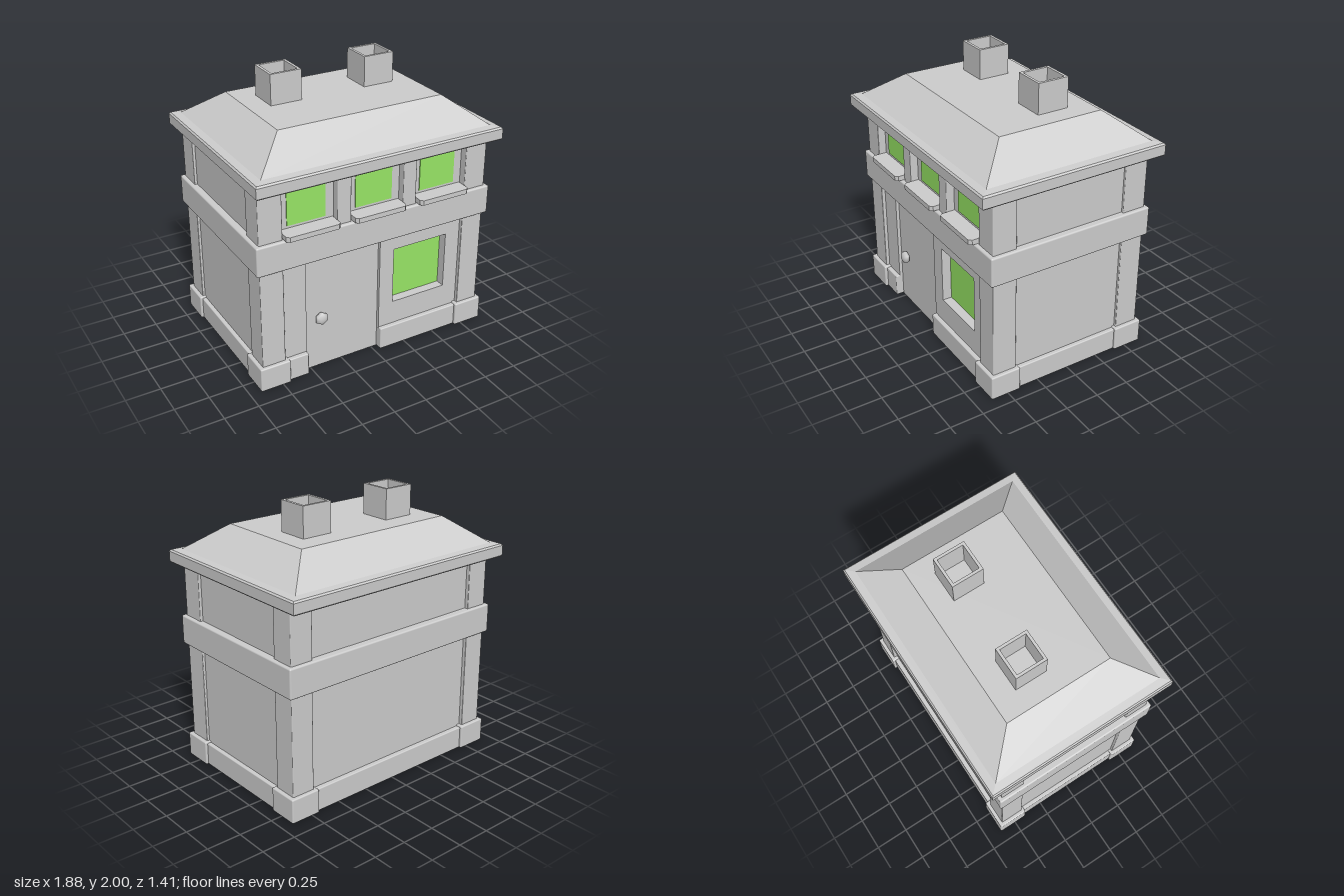
import * as THREE from 'three';
import { RoundedBoxGeometry } from 'three/addons/geometries/RoundedBoxGeometry.js';

const stone = new THREE.MeshStandardMaterial({ color: 0xcccccc });
stone.name = 'stone';
const glass = new THREE.MeshStandardMaterial({ color: 0x97e565 });
glass.name = 'greenGlass';

// Box given by its limits on each axis; a radius softens the edges
function block(name, [x0, x1], [y0, y1], [z0, z1], radius = 0, material = stone) {
  const size = [x1 - x0, y1 - y0, z1 - z0];
  const geometry = radius
    ? new RoundedBoxGeometry(...size, 2, radius)
    : new THREE.BoxGeometry(...size);
  const mesh = new THREE.Mesh(geometry, material);
  mesh.position.set((x0 + x1) / 2, (y0 + y1) / 2, (z0 + z1) / 2);
  mesh.name = name;
  return mesh;
}

function polygon(points, Type = THREE.Shape) {
  return new Type(points.map(([x, y]) => new THREE.Vector2(x, y)));
}

function rectangle(x0, x1, y0, y1, Type) {
  return polygon([[x0, y0], [x1, y0], [x1, y1], [x0, y1]], Type);
}

function extrude(name, shape, depth) {
  const mesh = new THREE.Mesh(
    new THREE.ExtrudeGeometry(shape, { depth, bevelEnabled: false }), stone);
  mesh.name = name;
  return mesh;
}

// Eave and hipped roof as stacked rectangular rings of [half width, height]
function hippedRoof() {
  const rings = [[0.93, 1.49], [0.94, 1.5], [0.94, 1.573], [0.93, 1.585], [0.875, 1.592], [0.63, 1.78]];
  const corners = ([w, y]) => {
    const d = w - 0.235;
    return [[-w, y, d], [w, y, d], [w, y, -d], [-w, y, -d]];
  };
  const positions = [];
  const quad = (a, b, c, d) => positions.push(...a, ...b, ...c, ...a, ...c, ...d);
  for (let i = 0; i < rings.length - 1; i++) {
    const low = corners(rings[i]), high = corners(rings[i + 1]);
    for (let k = 0; k < 4; k++) {
      const n = (k + 1) % 4;
      quad(low[k], low[n], high[n], high[k]);
    }
  }
  quad(...corners(rings[rings.length - 1]));
  quad(...corners(rings[0]).reverse());
  const geometry = new THREE.BufferGeometry();
  geometry.setAttribute('position', new THREE.Float32BufferAttribute(positions, 3));
  geometry.computeVertexNormals();
  const mesh = new THREE.Mesh(geometry, stone);
  mesh.name = 'roof';
  return mesh;
}

export function createModel() {
  const house = new THREE.Group();
  house.name = 'house';

  // Wall cores
  house.add(
    block('lowerWalls', [-0.87, 0.87], [0.015, 1], [-0.575, 0.5]),
    block('upperWalls', [-0.87, 0.87], [1, 1.5], [-0.575, 0.545]));

  // Ground floor front with a doorway and a deep window opening
  const front = polygon([[-0.87, 0.015], [-0.54, 0.015], [-0.54, 0.88], [0.045, 0.88],
    [0.045, 0.015], [0.87, 0.015], [0.87, 1], [-0.87, 1]]);
  front.holes.push(rectangle(0.16, 0.6, 0.35, 0.78, THREE.Path));
  const frontWall = extrude('frontWall', front, 0.076);
  frontWall.position.z = 0.499;
  house.add(frontWall);
  house.add(block('largeWindow', [0.16, 0.6], [0.35, 0.78], [0.499, 0.506], 0, glass));

  // Door and knob
  house.add(block('door', [-0.54, 0.045], [0, 0.878], [0.49, 0.55]));
  const knob = new THREE.Group();
  knob.name = 'doorKnob';
  const ball = new THREE.Mesh(new THREE.SphereGeometry(0.05, 6, 6), stone);
  ball.name = 'knobBall';
  ball.rotation.set(Math.PI / 2, Math.PI / 6, 0);
  ball.scale.y = 0.6;
  const stem = new THREE.Mesh(new THREE.CylinderGeometry(0.02, 0.02, 0.04, 6), stone);
  stem.name = 'knobStem';
  stem.rotation.x = Math.PI / 2;
  stem.position.z = -0.02;
  knob.add(ball, stem);
  knob.position.set(-0.422, 0.403, 0.577);
  house.add(knob);

  // Corner pillars with foot blocks
  for (const sx of [-1, 1]) {
    for (const sz of [-1, 1]) {
      const span = (s, a, b) => (s > 0 ? [a, b] : [-b, -a]);
      house.add(
        block('cornerPillar', span(sx, 0.718, 0.89), [0.1, 1.5], span(sz, 0.425, 0.603), 0.006),
        block('cornerFoot', span(sx, 0.692, 0.918), [0, 0.18], span(sz, 0.405, 0.63), 0.01));
    }
    house.add(block('sidePlinth', sx > 0 ? [0.8, 0.9] : [-0.9, -0.8], [0, 0.17], [-0.5, 0.5], 0.008));
  }

  // Plinth strips along the back and either side of the door
  house.add(
    block('backPlinth', [-0.8, 0.8], [0, 0.17], [-0.61, -0.5], 0.008),
    block('frontPlinth', [-0.8, -0.54], [0, 0.17], [0.5, 0.608], 0.008),
    block('frontPlinth', [0.045, 0.8], [0, 0.17], [0.5, 0.608], 0.008));

  // Band between the floors
  house.add(block('floorBand', [-0.918, 0.918], [0.9, 1.115], [-0.63, 0.63], 0.012));

  // Upper windows with projecting sills
  const sillShape = polygon([[-0.2, 0], [0.2, 0], [0.2, 0.11], [0.18, 0.13], [-0.18, 0.13], [-0.2, 0.11]]);
  for (const x of [-0.516, -0.002, 0.512]) {
    house.add(block('upperWindow', [x - 0.143, x + 0.143], [1.175, 1.43], [0.544, 0.551], 0, glass));
    const sill = extrude('windowSill', sillShape, 0.036);
    sill.rotation.x = Math.PI / 2;
    sill.position.set(x, 1.156, 0.537);
    house.add(sill);
  }

  // Piers between the upper windows
  for (const x of [-0.259, 0.255]) {
    house.add(block('windowPier', [x - 0.052, x + 0.052], [1.1, 1.5], [0.5, 0.603], 0.006));
  }

  house.add(hippedRoof());

  // Hollow chimneys
  for (const x of [-0.362, 0.367]) {
    const ring = rectangle(-0.117, 0.117, -0.117, 0.117);
    ring.holes.push(rectangle(-0.097, 0.097, -0.097, 0.097, THREE.Path));
    const chimney = extrude('chimney', ring, 0.25);
    chimney.rotation.x = -Math.PI / 2;
    chimney.position.set(x, 1.75, -0.112);
    house.add(chimney);
  }

  return house;
}
